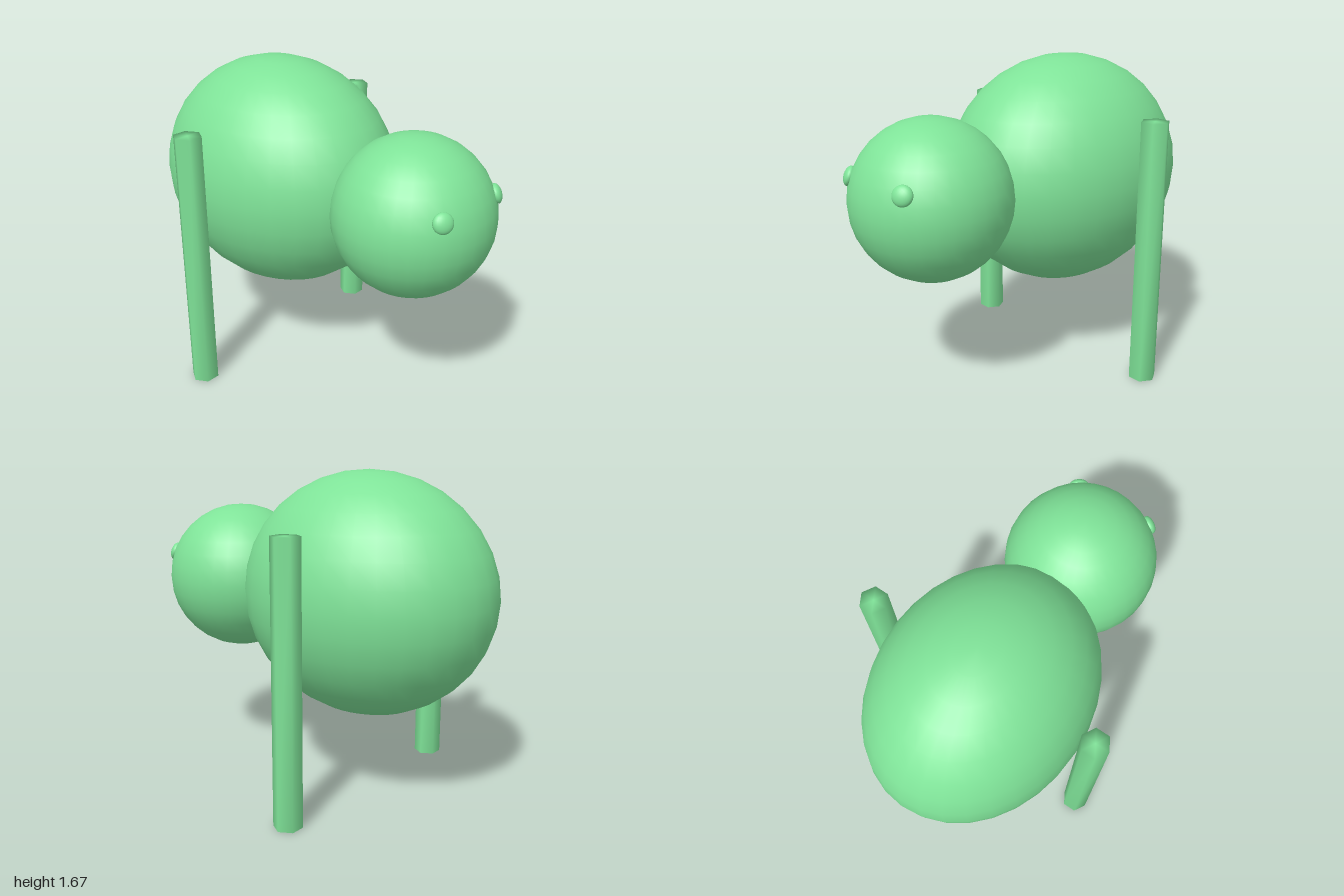
import * as THREE from 'three';
import { mergeVertices } from 'three/addons/utils/BufferGeometryUtils.js';

export function createModel() {
  const model = new THREE.Group();
  const material = new THREE.MeshStandardMaterial({ color: 0x7fe398 });

  function add(name, geometry, x, y, z) {
    const mesh = new THREE.Mesh(geometry, material);
    mesh.name = name;
    mesh.position.set(x, y, z);
    model.add(mesh);
    return mesh;
  }

  // Egg-shaped body and round head, overlapping at the neck
  const bodyX = -0.31;
  const headCentre = new THREE.Vector3(0.59, 1.05, 0);
  const headRadius = 0.405;
  add('body', new THREE.SphereGeometry(1, 32, 16).scale(0.69, 0.622, 0.55), bodyX, 1.05, 0);
  add('head', new THREE.SphereGeometry(headRadius, 32, 16), ...headCentre.toArray());

  // Six-sided leg post, with normals shared across the rims for soft shading
  let legGeometry = new THREE.CylinderGeometry(0.073, 0.073, 1.4, 6);
  legGeometry.deleteAttribute('uv');
  legGeometry.deleteAttribute('normal');
  legGeometry = mergeVertices(legGeometry);
  legGeometry.computeVertexNormals();

  // Flattened eye, its short axis along z
  const eyeGeometry = new THREE.SphereGeometry(0.05, 24, 12).scale(1, 1, 0.55);

  // Mirrored pairs: legs beside the body, eyes lying on the head's surface
  for (const [label, side] of [['front', 1], ['back', -1]]) {
    add(label + 'Leg', legGeometry, bodyX, 0.7, side * 0.626);

    const outward = new THREE.Vector3(0.315, 0.132, side * 0.22).normalize();
    const spot = headCentre.clone().addScaledVector(outward, headRadius);
    const eye = add(label + 'Eye', eyeGeometry, ...spot.toArray());
    eye.quaternion.setFromUnitVectors(new THREE.Vector3(0, 0, 1), outward);
  }

  return model;
}
